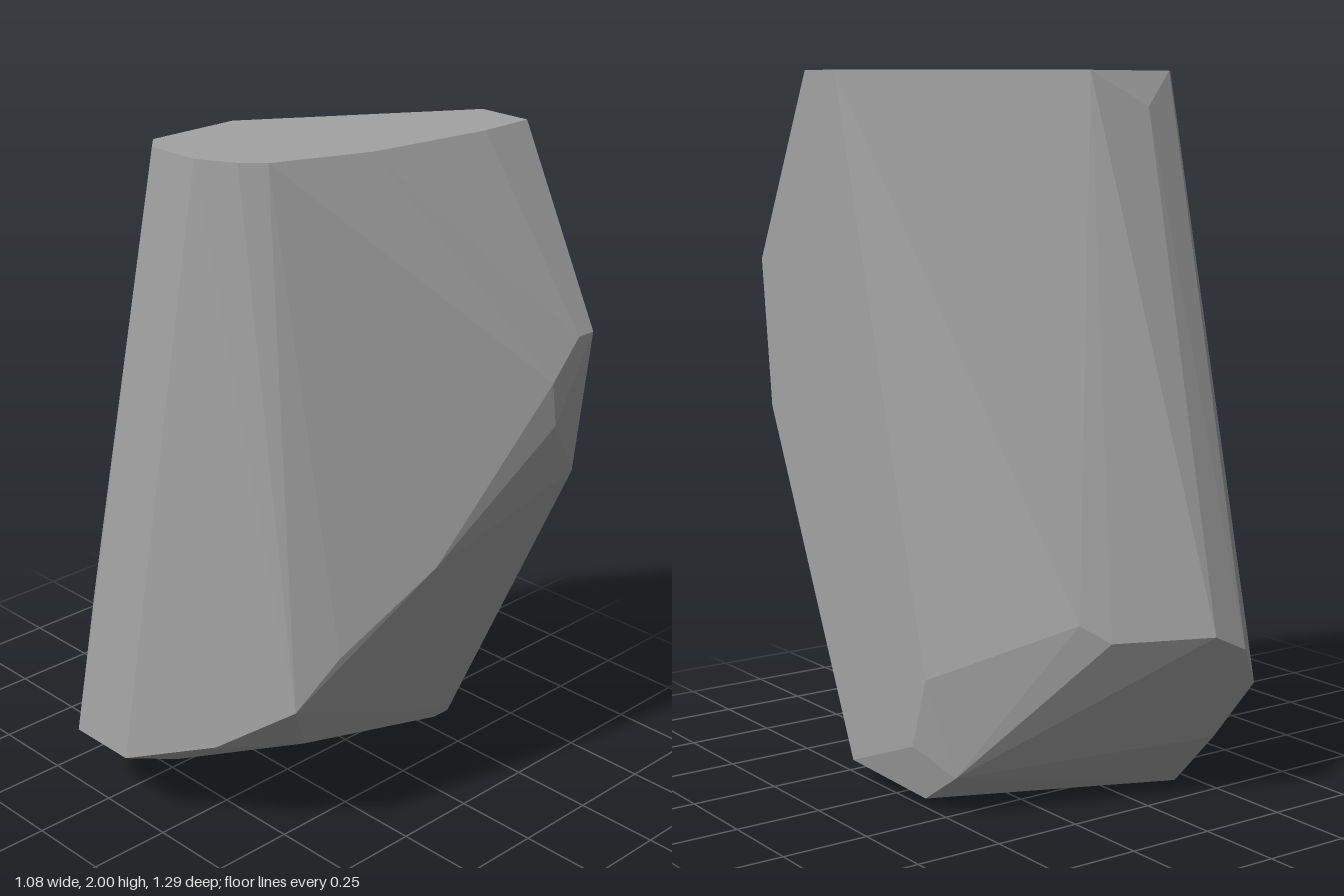
import * as THREE from 'three';
import { ConvexGeometry } from 'three/addons/geometries/ConvexGeometry.js';

export function createModel() {
  const stone = new THREE.MeshStandardMaterial({ color: 0xa3a3a3 });
  stone.name = 'greyStone';

  // Flat top outline, as x, z at y = 2
  const topRim = [
    [-0.33, -0.165], [-0.05, -0.165], [0.54, 0.215], [0.54, 0.375], [0.37, 0.375],
    [0, 0.32], [-0.27, 0.215], [-0.325, 0.16], [-0.38, 0.055], [-0.38, -0.11],
  ].map(([x, z]) => [x, 2, z]);

  // Flat cut on the +x side, as y, z at x = 0.54
  const sideCut = [
    [1.46, 0.645], [1.03, 0.6], [0.06, 0.165], [0.18, -0.15], [0.38, -0.215],
  ].map(([y, z]) => [0.54, y, z]);

  // Ridge running down the front
  const frontRidge = [
    [0.48, 1.46, 0.645], [0.38, 1.35, 0.645], [0.4, 1.22, 0.645], [0.05, 0.87, 0.54],
    [-0.21, 0.64, 0.43], [-0.325, 0.49, 0.375], [-0.43, 0.33, 0.16], [-0.2, 0.3, 0.28],
  ];

  // Corners of the back
  const back = [
    [-0.215, 1.9, -0.217], [0.23, 0.54, -0.49], [0.16, 0.49, -0.54],
    [-0.11, 0.49, -0.65], [-0.215, 0.44, -0.65], [-0.2, 0.17, -0.54], [0.48, 0.11, -0.27],
  ];

  // Low corners and underside
  const base = [
    [-0.54, 0.22, -0.11], [-0.54, 0.22, -0.33], [-0.2, 0, -0.375],
    [-0.215, 0.005, -0.27], [0.5, 0.025, -0.15], [0.48, 0.06, 0.165],
  ];

  // The faceted rock is the convex hull of its corners
  const corners = [...topRim, ...sideCut, ...frontRidge, ...back, ...base];
  const rock = new THREE.Mesh(
    new ConvexGeometry(corners.map((p) => new THREE.Vector3(...p))), stone);
  rock.name = 'rock';

  const model = new THREE.Group();
  model.name = 'facetedRock';
  model.add(rock);
  return model;
}
